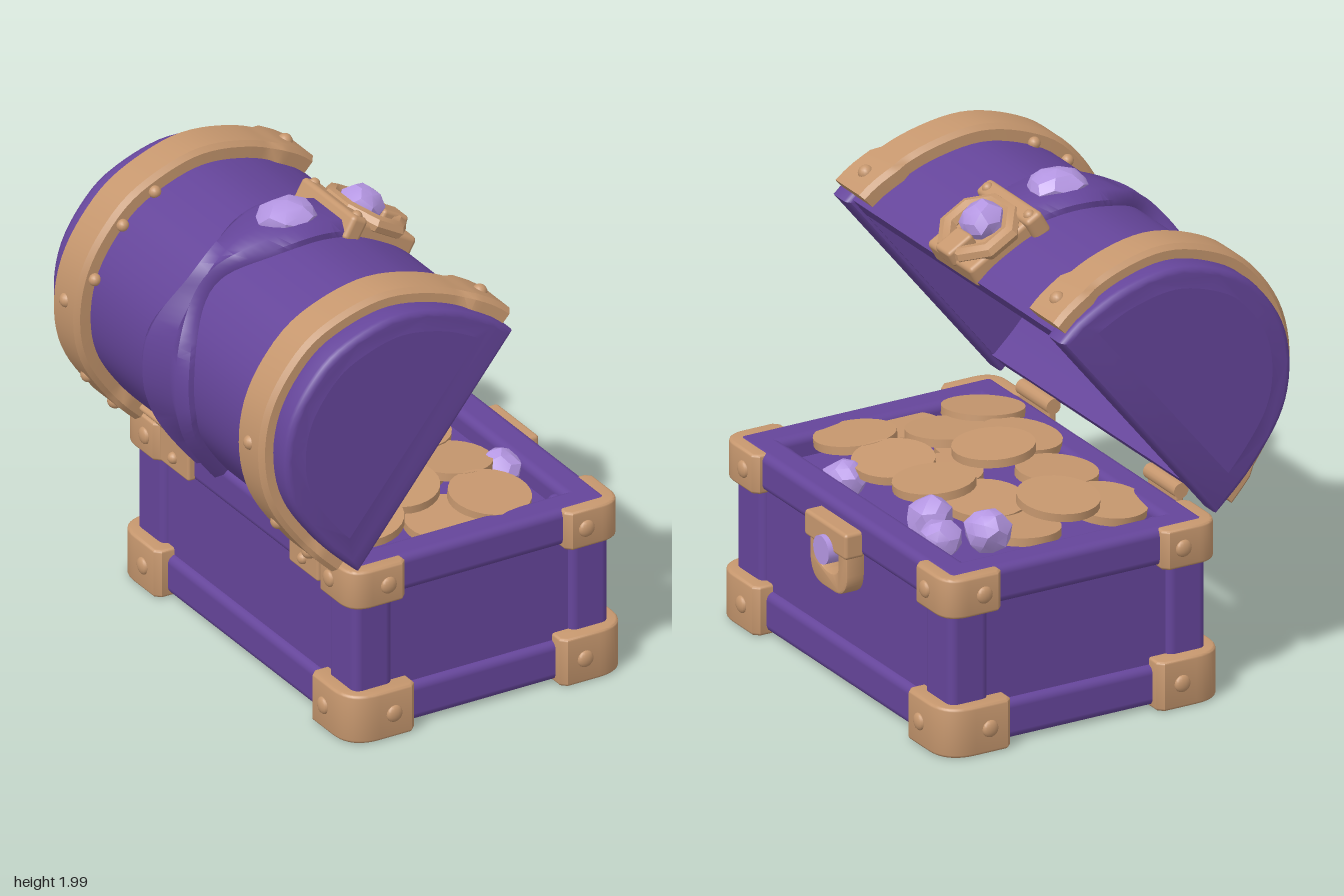
import * as THREE from 'three';
import { toCreasedNormals } from 'three/addons/utils/BufferGeometryUtils.js';
import { RoundedBoxGeometry } from 'three/addons/geometries/RoundedBoxGeometry.js';

const material = (name, color) => {
  const m = new THREE.MeshStandardMaterial({ color });
  m.name = name;
  return m;
};
const purple = material('purple wood', 0x65459a);
const gold = material('tan metal', 0xc6976e);
const lilac = material('lilac gem', 0xb496e2);

function add(parent, name, geo, mat, x = 0, y = 0, z = 0) {
  const m = new THREE.Mesh(geo, mat);
  m.name = name;
  m.position.set(x, y, z);
  parent.add(m);
  return m;
}
// rounded box given by its limits
function block(parent, name, mat, x0, x1, y0, y1, z0, z1, r = 0.025) {
  return add(parent, name, new RoundedBoxGeometry(x1 - x0, y1 - y0, z1 - z0, 3, r), mat,
    (x0 + x1) / 2, (y0 + y1) / 2, (z0 + z1) / 2);
}
function rivet(parent, x, y, z, r = 0.036) {
  return add(parent, 'rivet', new THREE.SphereGeometry(r, 14, 10), gold, x, y, z);
}
// lumpy cut stone
function gem(parent, name, x, y, z, r, sy = 1, turn = 0) {
  const geo = new THREE.IcosahedronGeometry(1, 1), p = geo.attributes.position;
  const v = new THREE.Vector3();
  for (let i = 0; i < p.count; i++) {
    v.fromBufferAttribute(p, i);
    v.multiplyScalar(r * (1 + 0.09 * Math.sin(5 * v.x + 3 * v.y + turn) * Math.cos(4 * v.z - v.x)));
    p.setXYZ(i, v.x, v.y * sy, v.z);
  }
  const g = add(parent, name, toCreasedNormals(geo, 0.45), lilac, x, y, z);
  g.rotation.set(0, turn, turn * 0.2);
  return g;
}

// Curved outline of the opened lid, from hinge to front lip
const P = [[-0.46, 0.82], [-0.6, 0.96], [-0.735, 1.157], [-0.777, 1.342], [-0.75, 1.53], [-0.655, 1.69],
  [-0.52, 1.805], [-0.28, 1.88], [-0.045, 1.846], [0.15, 1.755], [0.24, 1.685]];
const lidCurve = new THREE.SplineCurve(P.map(p => new THREE.Vector2(...p)));
function lidPoint(t, out = 0) {
  const p = lidCurve.getPointAt(t), d = lidCurve.getTangentAt(t);
  return new THREE.Vector2(p.x - d.y * out, p.y + d.x * out);
}
const N = 48;
const lidOutline = out => Array.from({ length: N + 1 }, (_, i) => lidPoint(i / N, out));

// Sweep a changing section of [outward, z] points along the lid curve
function sweepOverLid(section, t0, t1, crease = 0.7) {
  const pos = [], idx = [], n = 48;
  let k = 0;
  for (let i = 0; i <= n; i++) {
    const t = t0 + (t1 - t0) * i / n, s = section(i / n);
    k = s.length;
    for (const [o, z] of s) {
      const p = lidPoint(t, o);
      pos.push(p.x, p.y, z);
    }
  }
  for (let i = 0; i < n; i++) for (let j = 0; j < k; j++) {
    const a = i * k + j, b = i * k + (j + 1) % k;
    idx.push(a, b, b + k, a, b + k, a + k);
  }
  for (let j = 1; j < k - 1; j++) idx.push(0, j + 1, j, n * k, n * k + j, n * k + j + 1);
  const g = new THREE.BufferGeometry();
  g.setAttribute('position', new THREE.Float32BufferAttribute(pos, 3));
  g.setIndex(idx);
  return toCreasedNormals(g, crease);
}

// L-shaped corner bracket with a well rounded outer corner; kx, kz give the corner's side
function bracketGeometry(kx, kz, len, th, r, height) {
  const q = (u, v) => [-kx * u, kz * v], b = 0.012;
  const s = new THREE.Shape();
  s.moveTo(...q(b, r)).quadraticCurveTo(...q(b, b), ...q(r, b));
  for (const [u, v] of [[len - 0.03, b], [len - b, 0.03], [len - b, th], [th, th], [th, len - b], [0.03, len - b], [b, len - 0.03]])
    s.lineTo(...q(u, v));
  const g = new THREE.ExtrudeGeometry(s,
    { depth: height - 2 * b, bevelSize: b, bevelThickness: b, bevelSegments: 3, curveSegments: 10 });
  return toCreasedNormals(g.rotateX(-Math.PI / 2).translate(0, b, 0), 0.7);
}

function buildBase(root) {
  const base = new THREE.Group();
  base.name = 'base';
  root.add(base);
  const X0 = -0.43, X1 = 0.755, Z0 = -0.85, Z1 = 0.82, w = 0.145;

  // Inset panels, underside and inner bed
  block(base, 'sidePanel', purple, X0 + 0.03, X1 - 0.03, 0.08, 0.7, Z0 + 0.03, Z0 + 0.1);
  block(base, 'sidePanel', purple, X0 + 0.03, X1 - 0.03, 0.08, 0.7, Z1 - 0.1, Z1 - 0.03);
  block(base, 'backPanel', purple, X0 + 0.03, X0 + 0.1, 0.08, 0.7, Z0 + 0.03, Z1 - 0.03);
  block(base, 'frontPanel', purple, X1 - 0.1, X1 - 0.03, 0.08, 0.7, Z0 + 0.03, Z1 - 0.03);
  block(base, 'bottomPanel', purple, X0 + 0.08, X1 - 0.08, 0.08, 0.14, Z0 + 0.08, Z1 - 0.08);
  block(base, 'treasureBed', purple, X0 + 0.08, X1 - 0.08, 0.6, 0.68, Z0 + 0.08, Z1 - 0.08);

  // Bottom and top frames
  for (const [y0, y1] of [[0.02, 0.19], [0.61, 0.77]]) {
    for (const z of [Z0, Z1 - w]) block(base, 'sideRail', purple, X0, X1, y0, y1, z, z + w, 0.035);
    for (const x of [X0, X1 - w]) block(base, 'crossRail', purple, x, x + w, y0, y1, Z0, Z1, 0.035);
  }
  // Corner posts and metal corners
  for (const sx of [0, 1]) for (const sz of [0, 1]) {
    const x0 = sx ? X1 - 0.19 : X0, z0 = sz ? Z1 - 0.22 : Z0;
    block(base, 'cornerPost', purple, x0 + 0.006, x0 + 0.184, 0.05, 0.74, z0 + 0.006, z0 + 0.214, 0.035);
    const kx = sx ? 1 : -1, kz = sz ? 1 : -1;
    for (const [y0, y1, t, len, r] of [[0.01, 0.22, 0.052, 0.31, 0.14], [0.6, 0.768, 0.035, 0.26, 0.1]]) {
      const g = new THREE.Group();
      g.name = 'cornerBracket';
      base.add(g);
      const ex = (sx ? X1 : X0) + kx * t, ez = (sz ? Z1 : Z0) + kz * t, y = (y0 + y1) / 2;
      add(g, 'bracketPlate', bracketGeometry(kx, kz, len, t + 0.03, r, y1 - y0), gold, ex, y0, ez);
      rivet(g, ex - kx * len * 0.66, y, ez).scale.z = 0.5;
      rivet(g, ex, y, ez - kz * len * 0.66).scale.x = 0.5;
    }
  }

  // Front lock: bar, hanging loop and round button
  const lock = new THREE.Group();
  lock.name = 'frontLock';
  lock.position.z = -0.01;
  base.add(lock);
  block(lock, 'lockBar', gold, 0.74, 0.83, 0.61, 0.72, -0.16, 0.16, 0.015);
  const loop = new THREE.Shape();
  loop.moveTo(-0.135, 0.62).lineTo(-0.135, 0.53).quadraticCurveTo(-0.13, 0.44, -0.04, 0.44);
  loop.lineTo(0.04, 0.44).quadraticCurveTo(0.13, 0.44, 0.135, 0.53).lineTo(0.135, 0.62);
  const hole = new THREE.Path();
  hole.moveTo(-0.08, 0.61).lineTo(0.08, 0.61).lineTo(0.08, 0.54);
  hole.quadraticCurveTo(0.07, 0.495, 0, 0.495).quadraticCurveTo(-0.07, 0.495, -0.08, 0.54);
  loop.holes.push(hole);
  const loopGeo = new THREE.ExtrudeGeometry(loop,
    { depth: 0.065, bevelSize: 0.008, bevelThickness: 0.008, bevelSegments: 2 });
  add(lock, 'lockLoop', toCreasedNormals(loopGeo.rotateY(Math.PI / 2), 0.6), gold, 0.74);
  add(lock, 'lockButton', new THREE.CylinderGeometry(0.06, 0.06, 0.12, 20).rotateZ(Math.PI / 2), lilac, 0.793, 0.61, -0.01);

  // Hinges
  for (const z of [-0.5, 0.48]) {
    block(base, 'hingePlate', gold, -0.46, -0.42, 0.62, 0.79, z - 0.11, z + 0.11, 0.012);
    add(base, 'hingePin', new THREE.CylinderGeometry(0.033, 0.033, 0.24, 14).rotateX(Math.PI / 2), gold, -0.44, 0.8, z);
    const leaf = block(base, 'hingeLeaf', gold, -0.57, -0.43, 0.825, 0.855, z - 0.11, z + 0.11, 0.012);
    leaf.rotation.z = -Math.PI / 4;
    rivet(base, -0.46, 0.68, z, 0.025);
  }
}

function buildTreasure(root) {
  const hoard = new THREE.Group();
  hoard.name = 'treasure';
  root.add(hoard);
  const coins = [[0.23, 0.74, -0.5, 0.05, 0.06], [0.22, 0.75, -0.22, -0.08, 0], [0.34, 0.79, -0.03, 0.06, -0.06],
    [0.36, 0.78, 0.25, -0.05, -0.08], [0.35, 0.77, 0.56, 0.12, -0.05], [0.02, 0.84, 0.05, 0.03, -0.05],
    [0.05, 0.8, 0.36, 0.1, 0.05], [-0.2, 0.79, 0.5, 0.12, 0.1], [-0.18, 0.79, 0.18, -0.05, 0.12],
    [-0.15, 0.77, -0.15, 0, 0.1], [0.04, 0.82, -0.48, -0.1, 0.03], [-0.17, 0.76, -0.5, -0.1, 0.08],
    [0.12, 0.74, 0.6, 0.1, 0], [0.2, 0.73, 0.15, 0, 0], [-0.05, 0.73, -0.3, 0, 0], [-0.05, 0.73, 0.3, 0, 0]];
  for (const [x, y, z, rx, rz] of coins) {
    const c = add(hoard, 'coin', new THREE.CylinderGeometry(0.167, 0.167, 0.035, 28), gold, x, y, z);
    c.rotation.set(rx, 0, rz);
  }
  [[0.43, 0.81, -0.59, 0.095], [0.53, 0.72, -0.39, 0.09], [0.46, 0.73, -0.2, 0.095], [0.55, 0.72, 0.31, 0.09]]
    .forEach(([x, y, z, r], i) => gem(hoard, 'gem', x, y, z, r, 0.95, i + 0.5));
}

function buildLid(root) {
  const lid = new THREE.Group();
  lid.name = 'lid';
  root.add(lid);
  const outer = lidOutline(0), inner = lidOutline(-0.09);

  // Hollow curved shell
  const shell = new THREE.Shape([...outer, ...inner.slice().reverse()]);
  add(lid, 'lidShell', toCreasedNormals(new THREE.ExtrudeGeometry(shell,
    { depth: 1.6, bevelEnabled: false }), 0.6), purple, 0, 0, -0.8);

  // End walls: thick rim around a recessed panel
  const a = outer[0], b = outer[N], len = a.distanceTo(b);
  const depth = p => ((b.x - a.x) * (p.y - a.y) - (b.y - a.y) * (p.x - a.x)) / len;
  const rim = new THREE.Shape(lidOutline(-0.015));
  rim.holes.push(new THREE.Path(lidOutline(-0.08).filter(p => depth(p) > 0.08)));
  const rimGeo = toCreasedNormals(new THREE.ExtrudeGeometry(rim,
    { depth: 0.07, bevelSize: 0.025, bevelThickness: 0.03, bevelSegments: 3 }), 0.8);
  const panelGeo = toCreasedNormals(new THREE.ExtrudeGeometry(new THREE.Shape(lidOutline(-0.04)),
    { depth: 0.06, bevelEnabled: false }), 0.6);
  for (const s of [-1, 1]) {
    add(lid, 'lidEndRim', rimGeo, purple, 0, 0, s * 0.825 - 0.035);
    add(lid, 'lidEndPanel', panelGeo, purple, 0, 0, s * 0.785 - 0.03);

    // Metal band, drawn inwards over the crown
    const mid = u => s * (0.745 - 0.055 * Math.sin(Math.PI * u));
    const bandSection = u => {
      const c = mid(u), w = u > 0.9 || u < 0.08 ? 0.11 : 0.093, h = u > 0.9 ? 0.075 : 0.068;
      return [[-0.01, c - w], [h - 0.02, c - w], [h, c - w + 0.02], [h, c + w - 0.02], [h - 0.02, c + w], [-0.01, c + w]];
    };
    add(lid, 'lidBand', sweepOverLid(bandSection, 0.025, 0.99), gold);
    for (const u of [0.06, 0.16, 0.34, 0.95]) {
      const p = lidPoint(u, u > 0.9 ? 0.065 : 0.055);
      rivet(lid, p.x, p.y, mid(u), 0.032);
    }
    for (const u of [0.4, 0.52, 0.61]) {
      const p = lidPoint(u, 0.012);
      rivet(lid, p.x, p.y, mid(u) - s * 0.1, 0.026);
    }
  }

  // Padded strap: broad on the crown, pinched behind it, grooved and splayed at the back
  const strapSection = u => {
    const pinch = Math.exp(-(((u - 0.58) / 0.14) ** 2));
    const w = 0.18 * (1 - 0.7 * pinch) * (0.55 + 0.45 * Math.min(1, u / 0.25)) * (u > 0.82 ? 1 - (u - 0.82) * 1.3 : 1);
    const groove = Math.max(0, Math.min(1, (0.7 - u) / 0.15)) * 0.05;
    return [[-0.01, -w], [0.025, -w], [0.055, -w * 0.7], [0.055 - groove, 0], [0.055, w * 0.7], [0.025, w], [-0.01, w]];
  };
  add(lid, 'lidStrap', sweepOverLid(strapSection, 0.08, 0.86, 1), purple);
  gem(lid, 'crownGem', -0.24, 1.925, 0, 0.11, 0.64, 0).scale.x = 1.15;

  // Jewelled clasp near the lip
  const clasp = new THREE.Group();
  clasp.name = 'lidClasp';
  clasp.position.set(0.085, 1.785, -0.03);
  clasp.rotation.z = -0.52;
  lid.add(clasp);
  block(clasp, 'claspPlate', gold, -0.17, 0.19, -0.04, 0.06, -0.17, 0.17, 0.02);
  block(clasp, 'claspBar', gold, -0.18, -0.1, -0.03, 0.08, -0.2, 0.2, 0.02);
  add(clasp, 'claspRing', toCreasedNormals(new THREE.TorusGeometry(0.14, 0.036, 8, 8).rotateX(Math.PI / 2)
    .rotateY(Math.PI / 8), 0.7), gold, 0.02, 0.065, 0).scale.z = 1.2;
  block(clasp, 'claspTongue', gold, 0.07, 0.2, 0.03, 0.105, -0.055, 0.055, 0.015);
  gem(clasp, 'claspGem', -0.01, 0.085, 0, 0.092, 0.9, 0.4);
  for (const z of [-0.16, 0.16]) rivet(clasp, -0.14, 0.072, z, 0.024);
}

export function createModel() {
  const root = new THREE.Group();
  root.name = 'treasureChest';
  buildBase(root);
  buildTreasure(root);
  buildLid(root);
  return root;
}
